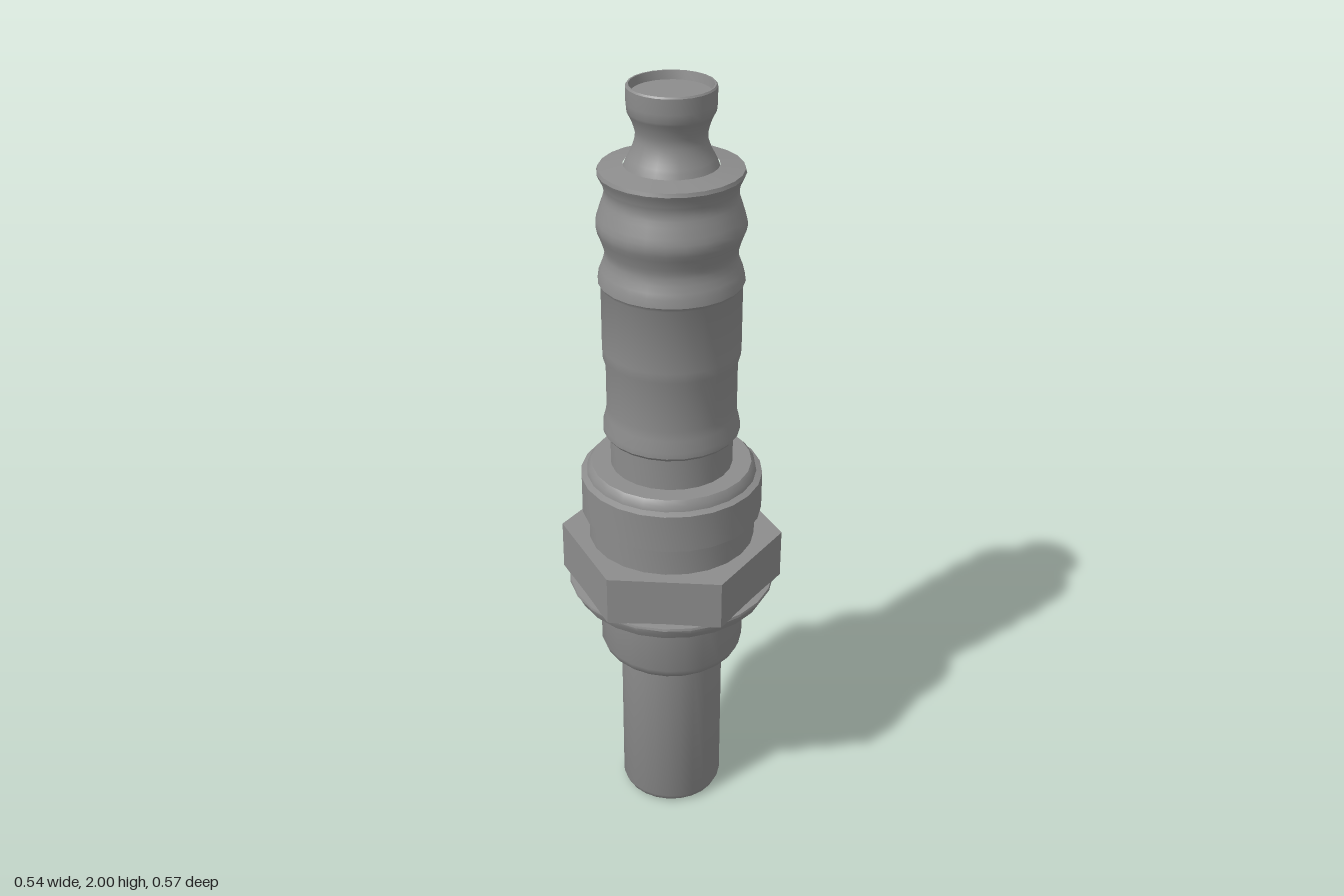
import * as THREE from 'three';
import { toCreasedNormals } from 'three/addons/utils/BufferGeometryUtils.js';

const SIDES = 24;

export function createModel() {
  const model = new THREE.Group();
  model.name = 'sparkPlug';
  const metal = new THREE.MeshStandardMaterial({ color: 0x8c8c8c });
  metal.name = 'grey metal';

  const add = (name, geometry, crease) => {
    const mesh = new THREE.Mesh(toCreasedNormals(geometry, crease), metal);
    mesh.name = name;
    model.add(mesh);
    return mesh;
  };

  // Turned part from [radius, height] pairs, listed bottom to top
  const turn = (name, profile) =>
    add(name, new THREE.LatheGeometry(profile.map(([r, y]) => new THREE.Vector2(r, y)), SIDES), 0.62);

  // Smooth run through a few profile points
  const smooth = (points, steps) =>
    new THREE.SplineCurve(points.map(([r, y]) => new THREE.Vector2(r, y)))
      .getPoints(steps).map((p) => [p.x, p.y]);

  // Lower shaft with rounded foot
  turn('lowerShaft', [[0, 0], [0.118, 0], [0.128, 0.006], [0.135, 0.022], [0.135, 0.48]]);

  // Threaded shell section
  turn('shell', [[0, 0.472], [0.172, 0.472], [0.18, 0.48], [0.188, 0.5], [0.188, 0.66]]);

  // Sealing washer under the nut
  turn('washer', [[0, 0.655], [0.25, 0.655], [0.257, 0.67], [0.261, 0.683],
    [0.268, 0.688], [0.266, 0.694], [0.24, 0.697], [0, 0.697]]);

  // Hexagonal nut, corners on the z axis
  const nut = add('hexNut', new THREE.CylinderGeometry(0.285, 0.285, 0.13, 6), 0.3);
  nut.position.y = 0.758;

  // Collar above the nut
  turn('collar', [[0.213, 0.81], [0.213, 0.902], [0.23, 0.902], [0.23, 1.002],
    [0.215, 1.008], [0.212, 1.022], [0.202, 1.034], [0.15, 1.034]]);

  // Insulator with flared foot, stepped barrel and ribbed head
  turn('insulator', [
    [0.154, 1.02], [0.154, 1.122], [0.165, 1.122], [0.171, 1.13], [0.171, 1.145],
    [0.163, 1.175], [0.162, 1.2], [0.162, 1.31], [0.169, 1.335], [0.17, 1.36],
    [0.17, 1.52], [0.176, 1.53],
    ...smooth([[0.173, 1.55], [0.158, 1.595], [0.165, 1.63], [0.178, 1.67],
      [0.168, 1.71], [0.157, 1.745], [0.16, 1.77]], 18),
    [0.17, 1.79], [0.173, 1.797], [0.17, 1.806], [0.112, 1.815],
  ]);

  // Waisted terminal with a shallow dished top
  turn('terminal', [
    [0.112, 1.808],
    ...smooth([[0.105, 1.825], [0.09, 1.855], [0.083, 1.885], [0.09, 1.915], [0.102, 1.94]], 12),
    [0.104, 1.96], [0.104, 1.996], [0.101, 2], [0.097, 2], [0.093, 1.98], [0, 1.98],
  ]);

  return model;
}
